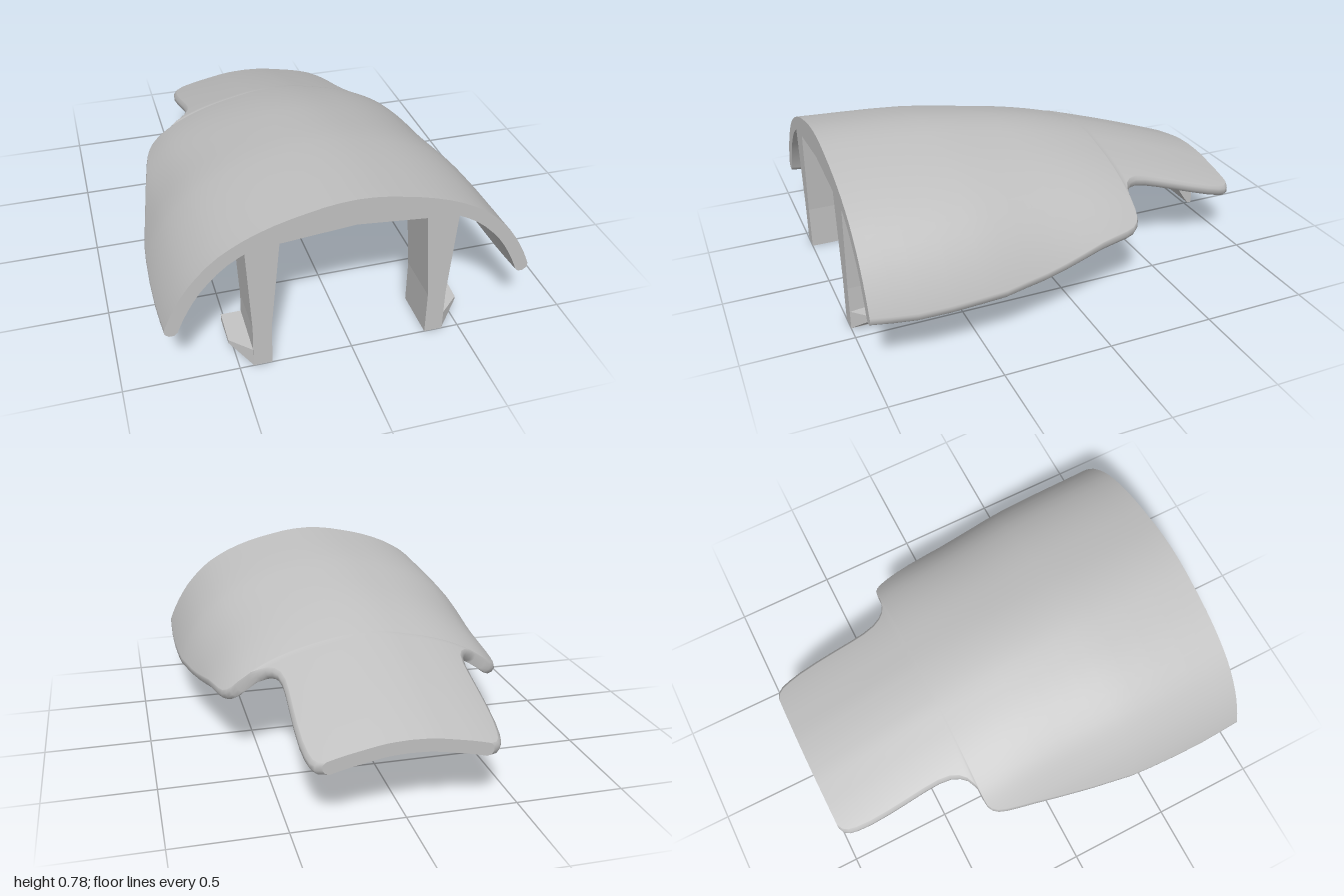
import * as THREE from 'three';
import { ConvexGeometry } from 'three/addons/geometries/ConvexGeometry.js';

// Smooth interpolation through a short table of [position, value], sorted ascending
function curve(table) {
  const slope = (i) => {
    const a = table[Math.max(i - 1, 0)], b = table[Math.min(i + 1, table.length - 1)];
    return (b[1] - a[1]) / (b[0] - a[0]);
  };
  return (p) => {
    let i = 0;
    while (i < table.length - 2 && p > table[i + 1][0]) i++;
    const [p0, v0] = table[i], [p1, v1] = table[i + 1];
    const h = p1 - p0, t = (p - p0) / h, t2 = t * t, t3 = t2 * t;
    return v0 * (2 * t3 - 3 * t2 + 1) + v1 * (3 * t2 - 2 * t3)
      + h * (slope(i) * (t3 - 2 * t2 + t) + slope(i + 1) * (t3 - t2));
  };
}

// Height of the ridge along z, fall of the surface away from the ridge, and its strength
const ridge = curve([[-1, 0.36], [-0.8, 0.435], [-0.6, 0.505], [-0.4, 0.57], [-0.2, 0.63],
  [0, 0.68], [0.2, 0.715], [0.5, 0.755], [1, 0.783]]);
const fall = curve([[0, 0], [0.1, 0.006], [0.2, 0.025], [0.3, 0.048], [0.4, 0.08], [0.5, 0.125],
  [0.6, 0.19], [0.7, 0.295], [0.76, 0.39], [0.8, 0.475], [0.83, 0.56]]);
const strength = curve([[-1, 0.9], [-0.5, 0.98], [-0.2, 1.0], [0.1, 1.09], [0.5, 1], [1, 1]]);
const surface = (x, z) => ridge(z) - strength(z) * fall(Math.abs(x));

// Half width of the shell at each station, front to back: wide lobes, notch, narrow tongue
const stations = [[1, 0.808], [0.9, 0.812], [0.8, 0.815], [0.65, 0.814], [0.5, 0.808], [0.4, 0.8],
  [0.3, 0.784], [0.2, 0.768], [0.1, 0.75], [0, 0.732], [-0.1, 0.712], [-0.18, 0.696], [-0.24, 0.682],
  [-0.28, 0.668], [-0.305, 0.65], [-0.318, 0.63], [-0.323, 0.6], [-0.326, 0.54], [-0.335, 0.51],
  [-0.352, 0.475], [-0.38, 0.448], [-0.42, 0.428], [-0.48, 0.418], [-0.55, 0.417], [-0.65, 0.42],
  [-0.75, 0.422], [-0.85, 0.42], [-0.92, 0.412], [-0.96, 0.402], [-0.985, 0.385], [-1, 0.355]];
const THICK = 0.06, ACROSS = 36;

// Closed cross-section: outer skin, rounded rim, inner skin, rounded rim
function section([z, w]) {
  const shift = z < -0.33 ? -0.01 : 0;
  const outer = [], inner = [];
  const frame = (x) => {
    const e = 0.004;
    const t = new THREE.Vector2(2 * e, surface(x + e, z) - surface(x - e, z)).normalize();
    return { p: new THREE.Vector2(x, surface(x, z)), t, n: new THREE.Vector2(-t.y, t.x) };
  };
  for (let j = 0; j <= ACROSS; j++) {
    const { p, n } = frame(w * Math.sin((j / ACROSS - 0.5) * Math.PI));
    outer.push(p);
    inner.push(p.clone().addScaledVector(n, -THICK));
  }
  const rim = (side) => {
    const { p, t, n } = frame(side * w);
    return [45, 90, 135].map((deg) => {
      const a = deg * Math.PI / 180;
      return p.clone().addScaledVector(n, -THICK / 2 * (1 - Math.cos(a)))
        .addScaledVector(t, side * 0.025 * Math.sin(a));
    });
  };
  const loop = [...outer, ...rim(1), ...inner.reverse(), ...rim(-1).reverse()];
  loop.forEach((p) => { p.x += shift; });
  return loop;
}

function shellGeometry(loops) {
  const pos = [], index = [], n = loops[0].length;
  loops.forEach((loop, i) => loop.forEach((p, j) => {
    pos.push(p.x, p.y, stations[i][0]);
    if (i === loops.length - 1) return;
    const a = i * n + j, b = i * n + (j + 1) % n;
    index.push(a, b, a + n, b, b + n, a + n);
  }));
  const g = new THREE.BufferGeometry();
  g.setAttribute('position', new THREE.Float32BufferAttribute(pos, 3));
  g.setIndex(index);
  g.computeVertexNormals();
  return g;
}

// Flat outline in x and y, extruded from z = 0.77 to the front edge
function frontExtrude(points) {
  const shape = new THREE.Shape(points.map(([x, y]) => new THREE.Vector2(x, y)));
  return new THREE.ExtrudeGeometry(shape, { depth: 0.23, bevelEnabled: false }).translate(0, 0, 0.77);
}

export function createModel() {
  const model = new THREE.Group();
  const grey = new THREE.MeshStandardMaterial({ color: 0xc0c0c0 });
  grey.name = 'light grey';
  const add = (name, geometry, parent = model) => {
    const mesh = new THREE.Mesh(geometry, grey);
    mesh.name = name;
    parent.add(mesh);
  };

  // Curved shell with flat ends
  const loops = stations.map(section);
  add('shell', shellGeometry(loops));
  add('shellFrontEdge', new THREE.ShapeGeometry(new THREE.Shape(loops[0])).translate(0, 0, 1));
  const backLoop = loops[loops.length - 1].map((p) => new THREE.Vector2(-p.x, p.y));
  add('shellBackEdge', new THREE.ShapeGeometry(new THREE.Shape(backLoop)).rotateY(Math.PI).translate(0, 0, -1));

  // Thick rib across the front between the legs
  add('frontRib', frontExtrude([[-0.33, 0.63], [0, 0.66], [0.32, 0.63], [0.32, 0.69], [0, 0.74], [-0.33, 0.69]]));

  // Two snap-in legs with outward hooks
  for (const side of [1, -1]) {
    const leg = new THREE.Group();
    leg.name = side > 0 ? 'leftLeg' : 'rightLeg';
    model.add(leg);
    const sx = (x) => side * x - 0.008;
    add('legPost', frontExtrude([[0.35, 0], [0.433, 0], [0.433, 0.21], [0.46, 0.64], [0.31, 0.69], [0.35, 0.21]]
      .map(([x, y]) => [sx(x), y])), leg);
    add('legHook', new ConvexGeometry([[0.43, 0, 1], [0.43, 0.088, 1], [0.43, 0, 0.77], [0.43, 0.112, 0.77],
      [0.523, 0.112, 0.77], [0.523, 0.08, 0.77], [0.523, 0.08, 0.92], [0.523, 0.096, 0.92]]
      .map(([x, y, z]) => new THREE.Vector3(sx(x), y, z))), leg);
  }

  // Tapered stop under the tongue, its top following the shell
  const stop = new THREE.BoxGeometry(0.7, 1, 1, 16, 1, 1);
  const p = stop.attributes.position;
  for (let i = 0; i < p.count; i++) {
    const top = p.getY(i) > 0, front = p.getZ(i) > 0, x = p.getX(i) - 0.01;
    const z = !front ? -0.805 : top ? -0.66 : -0.785;
    p.setXYZ(i, x, top ? surface(x, z) - 0.03 : 0.215, z);
  }
  stop.computeVertexNormals();
  add('rearStop', stop);

  return model;
}
